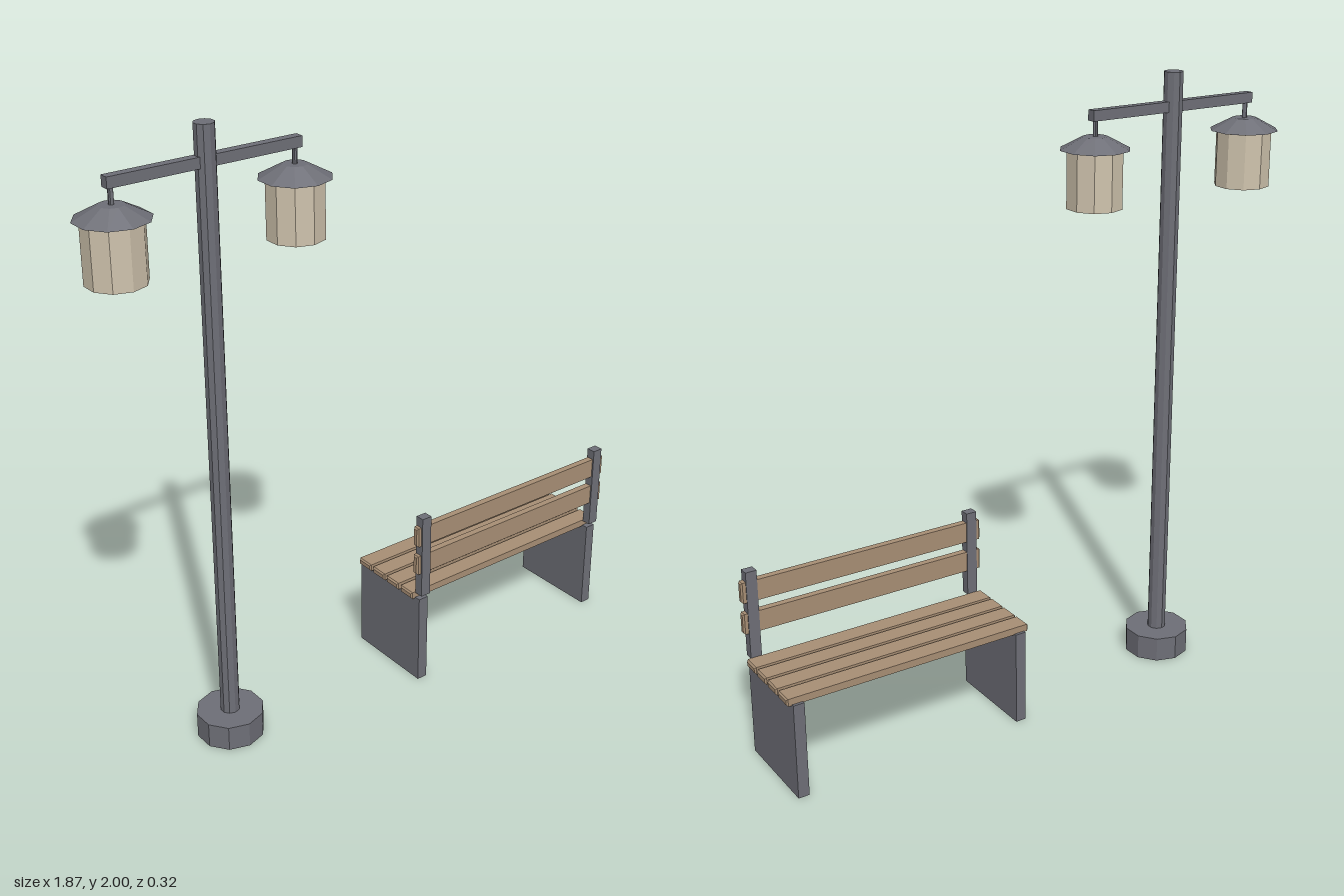
import * as THREE from 'three';

export function createModel() {
  const root = new THREE.Group();
  const flat = (name, color) => {
    const m = new THREE.MeshStandardMaterial({ color, flatShading: true });
    m.name = name;
    return m;
  };
  const metal = flat('grey metal', 0x6e6f77);
  const wood = flat('brown wood', 0xa88f75);
  const glass = flat('cream glass', 0xcfc3ad);

  const add = (parent, name, geometry, material, x, y, z) => {
    const mesh = new THREE.Mesh(geometry, material);
    mesh.name = name;
    mesh.position.set(x, y, z);
    parent.add(mesh);
    return mesh;
  };
  // Ten-sided drum standing between two heights
  const drum = (parent, name, material, x, y0, y1, rBottom, rTop = rBottom) =>
    add(parent, name, new THREE.CylinderGeometry(rTop, rBottom, y1 - y0, 10), material, x, (y0 + y1) / 2, 0);

  // Lamp post
  const lamp = new THREE.Group();
  lamp.name = 'lampPost';
  lamp.position.set(-0.537, 0, -0.007);
  root.add(lamp);
  drum(lamp, 'base', metal, 0, 0, 0.083, 0.109);
  drum(lamp, 'pole', metal, 0, 0.08, 2, 0.031);
  add(lamp, 'crossArm', new THREE.BoxGeometry(0.624, 0.033, 0.029), metal, 0, 1.893, 0);

  // Hanging lanterns
  for (const side of [-1, 1]) {
    const lantern = new THREE.Group();
    lantern.name = side < 0 ? 'rightLantern' : 'leftLantern';
    lantern.position.x = side * 0.295;
    lamp.add(lantern);
    drum(lantern, 'hanger', metal, 0, 1.82, 1.885, 0.008);
    drum(lantern, 'cap', metal, 0, 1.79, 1.829, 0.111, 0.038);
    drum(lantern, 'shade', glass, 0, 1.61, 1.792, 0.09);
  }

  // Bench
  const bench = new THREE.Group();
  bench.name = 'bench';
  bench.position.x = 0.515;
  root.add(bench);

  // Plank with slightly bevelled edges, lying along x
  const plank = (name, height, depth, y, z) => {
    const length = 0.84, b = 0.005;
    const w = depth / 2 - b, h = height / 2 - b;
    const section = new THREE.Shape([
      new THREE.Vector2(-w, -h), new THREE.Vector2(w, -h),
      new THREE.Vector2(w, h), new THREE.Vector2(-w, h),
    ]);
    const g = new THREE.ExtrudeGeometry(section, {
      depth: length - 2 * b, bevelEnabled: true, bevelSize: b, bevelThickness: b, bevelSegments: 1,
    });
    g.translate(0, 0, -length / 2 + b).rotateY(Math.PI / 2);
    add(bench, name, g, wood, 0, y, z);
  };

  // Side panels and back posts
  for (const side of [-1, 1]) {
    const x = side * 0.386;
    add(bench, 'legPanel', new THREE.BoxGeometry(0.036, 0.315, 0.312), metal, x, 0.1575, -0.003);
    add(bench, 'backPost', new THREE.BoxGeometry(0.036, 0.29, 0.031), metal, x, 0.478, 0.148);
  }
  // Seat and backrest slats
  for (let i = 0; i < 4; i++) plank('seatSlat', 0.024, 0.061, 0.324, -0.009 + (i - 1.5) * 0.0735);
  for (const y of [0.452, 0.556]) plank('backSlat', 0.068, 0.023, y, 0.147);

  return root;
}
